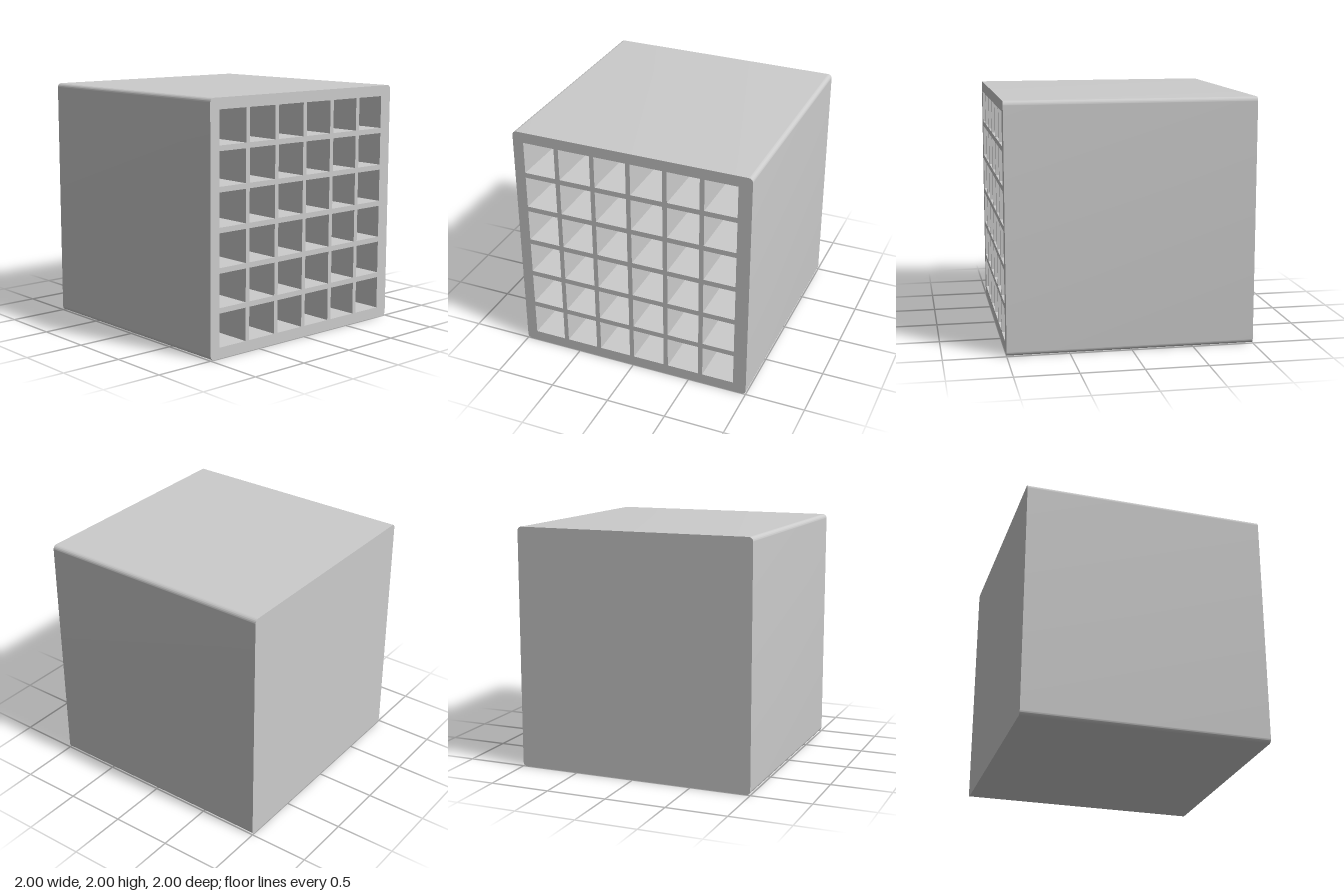
import * as THREE from 'three';
import { toCreasedNormals, mergeGeometries } from 'three/addons/utils/BufferGeometryUtils.js';

const SIZE = 2, RADIUS = 0.035, DEPTH = 1.9;
const CELL = 0.268, PITCH_Z = 0.306, PITCH_Y = 0.311, COUNT = 6;

// Rounded square outline of the block, centred on the origin
function outline() {
  const h = SIZE / 2, r = RADIUS, s = new THREE.Shape();
  s.moveTo(-h + r, -h);
  s.absarc(h - r, -h + r, r, -Math.PI / 2, 0);
  s.absarc(h - r, h - r, r, 0, Math.PI / 2);
  s.absarc(-h + r, h - r, r, Math.PI / 2, Math.PI);
  s.absarc(-h + r, -h + r, r, Math.PI, Math.PI * 1.5);
  return s;
}

// Square opening of one compartment
function opening(u, v) {
  const c = CELL / 2;
  return new THREE.Path([[-c, -c], [-c, c], [c, c], [c, -c]]
    .map(([a, b]) => new THREE.Vector2(u + a, v + b)));
}

// Five inward-facing sides of one compartment, open towards +z
function pocket(u, v) {
  const g = new THREE.BoxGeometry(CELL, CELL, DEPTH);
  const open = g.groups[4];
  const keep = Array.from(g.index.array)
    .filter((_, i) => i < open.start || i >= open.start + open.count);
  g.setIndex(keep.reverse());
  g.computeVertexNormals();
  return g.translate(u, v, SIZE / 2 - DEPTH / 2);
}

export function createModel() {
  const model = new THREE.Group();
  const material = new THREE.MeshStandardMaterial({ color: 0xcccccc });
  const block = new THREE.Group();
  block.name = 'compartmentBlock';
  // Built with the openings towards +z, then turned to face +x
  block.rotation.y = Math.PI / 2;
  block.position.y = SIZE / 2;
  model.add(block);

  const add = (name, geometry) => {
    const mesh = new THREE.Mesh(geometry, material);
    mesh.name = name;
    block.add(mesh);
    return mesh;
  };

  // Outer walls with rounded long edges, without end caps
  const solid = new THREE.ExtrudeGeometry(outline(), { depth: SIZE, bevelEnabled: false, curveSegments: 8 });
  const { start, count } = solid.groups[1];
  const walls = new THREE.BufferGeometry();
  walls.setAttribute('position', new THREE.BufferAttribute(
    solid.attributes.position.array.slice(start * 3, (start + count) * 3), 3));
  add('outerWalls', toCreasedNormals(walls, 0.6).translate(0, 0, -SIZE / 2));

  // Closed end
  add('closedEnd', new THREE.ShapeGeometry(outline(), 8).rotateY(Math.PI).translate(0, 0, -SIZE / 2));

  // Grid face and the compartments behind it
  const face = outline(), pockets = [];
  for (let row = 0; row < COUNT; row++) {
    for (let col = 0; col < COUNT; col++) {
      const u = (col - (COUNT - 1) / 2) * PITCH_Z - 0.01;
      const v = (row - (COUNT - 1) / 2) * PITCH_Y;
      face.holes.push(opening(u, v));
      pockets.push(pocket(u, v));
    }
  }
  add('gridFace', new THREE.ShapeGeometry(face, 8).translate(0, 0, SIZE / 2));
  add('compartments', mergeGeometries(pockets));

  return model;
}
